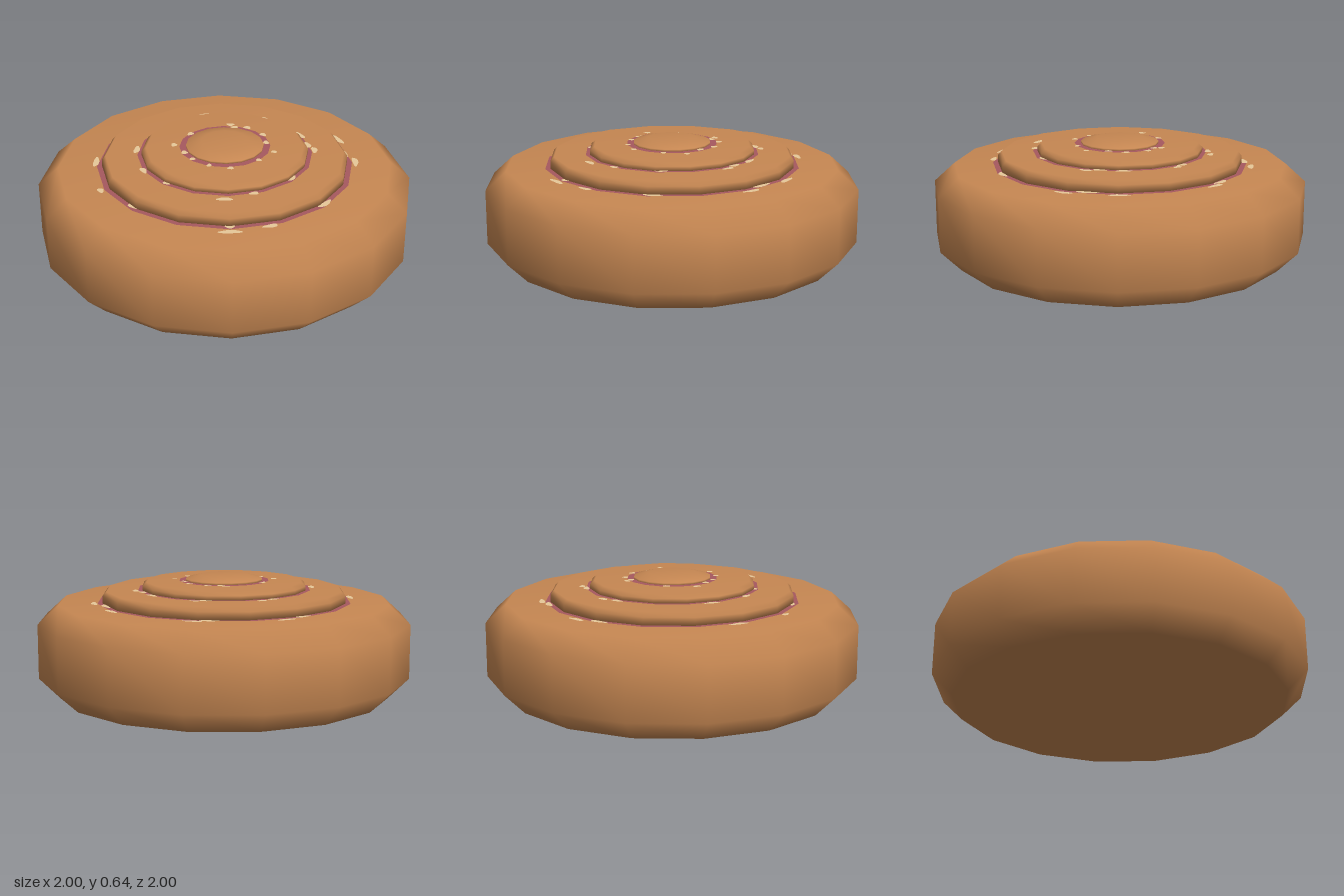
import * as THREE from 'three';

const SIDES = 16;
const bun = new THREE.MeshStandardMaterial({ color: 0xc68752 });
bun.name = 'bakedCrust';
const jam = new THREE.MeshStandardMaterial({ color: 0xa6585f, side: THREE.DoubleSide });
jam.name = 'jam';
const cream = new THREE.MeshStandardMaterial({ color: 0xe8c99a, side: THREE.DoubleSide });
cream.name = 'creamCrumbs';

function add(parent, name, geometry, material) {
  const mesh = new THREE.Mesh(geometry, material);
  mesh.name = name;
  parent.add(mesh);
  return mesh;
}

// Smooth 16-sided solid of revolution
function turned(points) {
  return new THREE.LatheGeometry(points.map(([r, y]) => new THREE.Vector2(r, y)), SIDES);
}

// Flat crumb, bent along the ring it lies on, with a slightly uneven rim
function crumb(x, z, halfLength, halfWidth, seed) {
  const R = Math.hypot(x, z), A = Math.atan2(-z, x);
  const pts = [];
  for (let i = 0; i < 14; i++) {
    const t = (i / 14) * Math.PI * 2;
    const wobble = 1 + 0.14 * Math.sin(3 * t + seed);
    const r = R + halfWidth * wobble * Math.sin(t);
    const a = A + (halfLength / R) * wobble * Math.cos(t);
    pts.push(new THREE.Vector2(r * Math.cos(a), r * Math.sin(a)));
  }
  return new THREE.ShapeGeometry(new THREE.Shape(pts)).rotateX(-Math.PI / 2);
}

// Jam seam round the foot of a tier, with crumbs scattered along it
function seam(parent, name, y, inner, outer, size, spots) {
  const group = new THREE.Group();
  group.name = name;
  parent.add(group);
  const ring = new THREE.RingGeometry(inner, outer, SIDES).rotateX(-Math.PI / 2);
  add(group, 'jamRing', ring, jam).position.y = y + 0.002;
  spots.forEach(([x, z, scale = 1], i) => {
    const geometry = crumb(x, z, size * scale, 0.016, i * 1.7);
    add(group, 'crumb', geometry, cream).position.y = y + 0.004;
  });
}

export function createModel() {
  const model = new THREE.Group();
  model.name = 'tieredBun';

  // Stacked tiers
  add(model, 'base', turned([[0, 0], [0.89, 0], [1, 0.11], [1, 0.4], [0.89, 0.5], [0, 0.5]]), bun);
  add(model, 'lowerTier', turned([[0, 0.497], [0.655, 0.497], [0.655, 0.543], [0.635, 0.565], [0, 0.565]]), bun);
  add(model, 'middleTier', turned([[0, 0.562], [0.443, 0.562], [0.443, 0.59], [0.42, 0.61], [0, 0.61]]), bun);
  add(model, 'topButton', turned([[0, 0.607], [0.207, 0.607], [0.207, 0.622], [0.125, 0.642], [0, 0.642]]), bun);

  // Seams
  seam(model, 'lowerSeam', 0.5, 0.64, 0.683, 0.05, [
    [-0.18, -0.68], [-0.28, -0.61], [0.2, -0.64], [0.28, -0.64], [0.64, -0.27, 1.1], [0.65, -0.1, 1.2],
    [0.7, 0], [-0.69, -0.05, 1.1], [-0.65, 0.27, 0.5], [0.49, 0.45], [0.2, 0.66, 0.8], [0, 0.71, 1.2],
    [-0.48, 0.44, 0.7], [0, 0.66, 0.5],
  ]);
  seam(model, 'middleSeam', 0.565, 0.43, 0.466, 0.035, [
    [-0.1, -0.48, 0.8], [-0.17, -0.44], [0.18, -0.425], [0.235, -0.42, 0.7], [0.42, -0.2, 1.2], [0.45, -0.08],
    [0.48, -0.02], [-0.47, -0.06, 1.2], [-0.43, 0.18, 0.9], [0.33, 0.295], [0.13, 0.445, 0.7],
    [-0.02, 0.5, 1.2], [-0.31, 0.32, 0.6],
  ]);
  seam(model, 'topSeam', 0.61, 0.195, 0.242, 0.021, [
    [0.04, -0.255], [0.06, -0.22], [0.13, -0.215], [0.21, -0.125], [0.22, -0.03], [0.255, 0.08, 0.7],
    [0.17, 0.17, 0.7], [0.02, 0.255, 0.8], [-0.09, 0.22, 0.6], [-0.175, 0.145, 0.7], [-0.215, 0.07],
    [-0.27, -0.02], [-0.18, -0.15],
  ]);

  return model;
}
